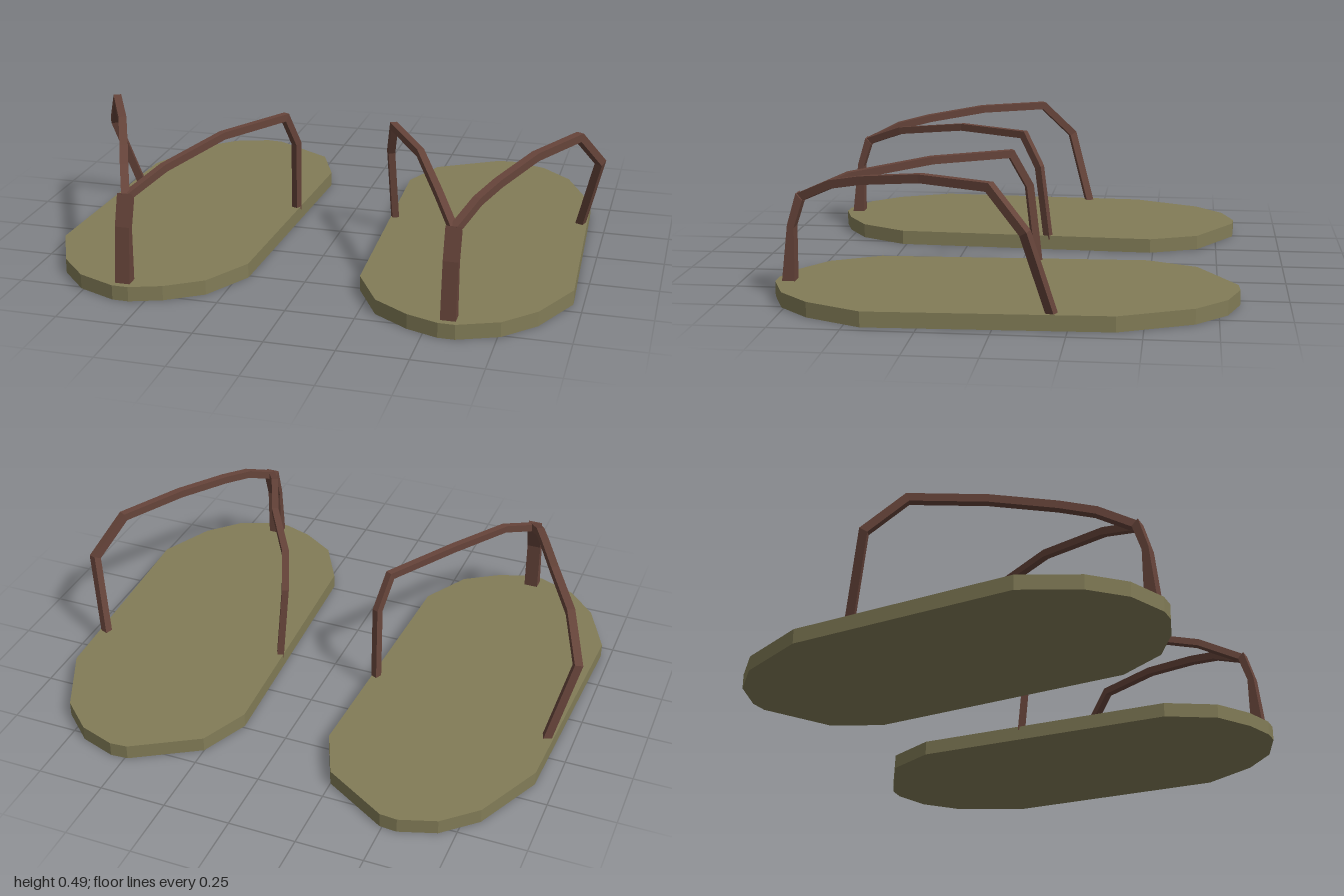
import * as THREE from 'three';

const soleMat = new THREE.MeshStandardMaterial({ color: 0x827c57, flatShading: true });
const strapMat = new THREE.MeshStandardMaterial({ color: 0x66443a, flatShading: true });

// Sole outline as x, z
const OUTLINE = [
  [0.49, -0.82], [0.555, -0.825], [0.69, -0.78], [0.81, -0.67], [0.93, -0.41], [0.965, 0.44],
  [0.87, 0.645], [0.76, 0.76], [0.615, 0.82], [0.555, 0.82], [0.44, 0.78], [0.31, 0.695],
  [0.21, 0.515], [0.17, -0.49], [0.25, -0.675],
];
// Strap centre lines as x, y, z
const OUTER = [
  [0.585, 0.357, 0.728], [0.64, 0.418, 0.6], [0.69, 0.444, 0.48], [0.785, 0.474, 0.26],
  [0.91, 0.475, 0.01], [0.982, 0.34, -0.115], [0.91, 0.04, -0.2],
];
const INNER = [
  [0.585, 0.357, 0.728], [0.5, 0.42, 0.57], [0.375, 0.46, 0.29],
  [0.215, 0.46, 0.02], [0.19, 0.335, -0.045], [0.202, 0.04, -0.08],
];

// Square bar with mitred bends along a polyline
function barGeometry(points, width, height) {
  const dirs = points.slice(1).map((p, i) => p.clone().sub(points[i]).normalize());
  const side = new THREE.Vector3().crossVectors(dirs[0], new THREE.Vector3(0, 1, 0)).normalize();
  const up = new THREE.Vector3().crossVectors(side, dirs[0]);
  let ring = [[-1, -1], [-1, 1], [1, 1], [1, -1]].map(([a, b]) =>
    points[0].clone().addScaledVector(side, a * width / 2).addScaledVector(up, b * height / 2));
  const pos = [], idx = [];
  points.forEach((p, i) => {
    if (i > 0) {
      // slide the corners along the segment onto the mitre plane
      const d = dirs[i - 1];
      const n = d.clone().add(dirs[i] ?? d).normalize();
      ring = ring.map(c => c.clone().addScaledVector(d, p.clone().sub(c).dot(n) / d.dot(n)));
      for (let k = 0; k < 4; k++) {
        const a = (i - 1) * 4 + k, b = (i - 1) * 4 + (k + 1) % 4;
        idx.push(a, b, b + 4, a, b + 4, a + 4);
      }
    }
    ring.forEach(c => pos.push(c.x, c.y, c.z));
  });
  const e = (points.length - 1) * 4;
  idx.push(0, 2, 1, 0, 3, 2, e, e + 1, e + 2, e, e + 2, e + 3);
  const g = new THREE.BufferGeometry();
  g.setAttribute('position', new THREE.Float32BufferAttribute(pos, 3));
  g.setIndex(idx);
  const flat = g.toNonIndexed();
  flat.computeVertexNormals();
  return flat;
}

function extrude(points, depth) {
  const shape = new THREE.Shape(points.map(([x, y]) => new THREE.Vector2(x, y)));
  return new THREE.ExtrudeGeometry(shape, { depth, bevelEnabled: false });
}

function add(group, name, geometry, material) {
  const mesh = new THREE.Mesh(geometry, material);
  mesh.name = name;
  group.add(mesh);
}

// s = 1 for the left sandal, -1 for the right
function sandal(s) {
  const g = new THREE.Group();
  g.name = s > 0 ? 'leftSandal' : 'rightSandal';

  const sole = extrude(OUTLINE.map(([x, z]) => [s * x, z]), 0.055);
  sole.rotateX(Math.PI / 2).translate(0, 0.055, 0);
  add(g, 'sole', sole, soleMat);

  // Toe post, a tapered side profile (z, y) given width
  const post = extrude([[0.798, 0.04], [0.772, 0.26], [0.738, 0.374], [0.715, 0.35],
    [0.748, 0.25], [0.75, 0.04]], 0.054);
  post.rotateY(-Math.PI / 2).translate(s * 0.585 + 0.027, 0, 0);
  add(g, 'toePost', post, strapMat);

  const path = pts => pts.map(([x, y, z]) => new THREE.Vector3(s * x, y, z));
  add(g, 'outerStrap', barGeometry(path(OUTER), 0.03, 0.03), strapMat);
  add(g, 'innerStrap', barGeometry(path(INNER), 0.026, 0.028), strapMat);
  return g;
}

export function createModel() {
  const model = new THREE.Group();
  model.name = 'sandals';
  model.add(sandal(1), sandal(-1));
  return model;
}
